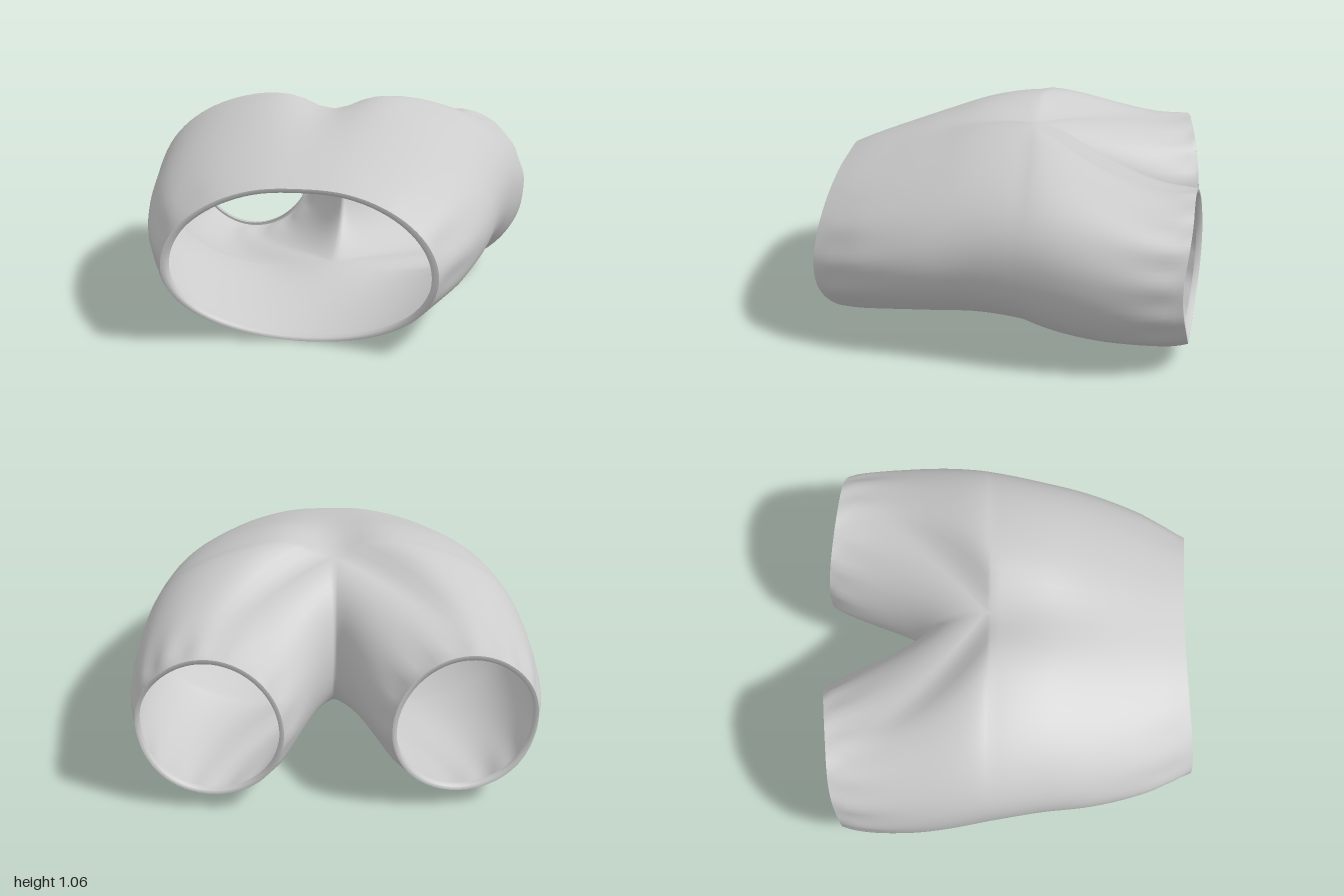
import * as THREE from 'three';
import { mergeGeometries, mergeVertices } from 'three/addons/utils/BufferGeometryUtils.js';

const V = (x, y, z) => new THREE.Vector3(x, y, z);
const OUTER = 44, INNER = 28, BODY_ROWS = 22, LEG_ROWS = 22;

// Body profile from waist (v = 0) to crotch (v = 1): v, half width, top, bottom, centre dent.
// The last row only sets the slope at the crotch.
const PROFILE = [
  [0, 0.66, 0.795, 0.0, 0.01],
  [0.1, 0.715, 0.835, 0.0, 0.01],
  [0.25, 0.79, 0.885, 0.015, 0.01],
  [0.5, 0.865, 0.97, 0.035, 0.025],
  [0.75, 0.905, 1.05, 0.055, 0.06],
  [1, 0.95, 1.08, 0.06, 0.1],
  [1.2, 0.98, 1.055, 0.05, 0.11],
];

// Smooth interpolation of the profile table
function profile(v) {
  let k = 0;
  while (k < PROFILE.length - 3 && v > PROFILE[k + 1][0]) k++;
  const at = i => PROFILE[Math.max(i, 0)];
  const slope = (i, c) => (at(i + 1)[c] - at(i - 1)[c]) / (at(i + 1)[0] - at(i - 1)[0]);
  const a = at(k), b = at(k + 1), d = b[0] - a[0], t = (v - a[0]) / d;
  const t2 = t * t, t3 = t2 * t;
  return [1, 2, 3, 4].map(c =>
    (2 * t3 - 3 * t2 + 1) * a[c] + (t3 - 2 * t2 + t) * d * slope(k, c) +
    (3 * t2 - 2 * t3) * b[c] + (t3 - t2) * d * slope(k + 1, c));
}

// Point on the half body; angle runs from +90 degrees (top centre) over the side to -90
function bodyPoint(v, angle) {
  const [w, top, bottom, dent] = profile(v);
  const s = Math.sin(angle), c = Math.max(Math.cos(angle), 0);
  const p = s > 0 ? 1 - 0.06 * v : 1 - 0.12 * v + 0.4 * v * (1 - v);
  const gather = 1 + 0.3 * v * Math.exp(-10 * v) * Math.sin(angle * 15) * c;
  const x = c < 1e-6 ? 0 : w * Math.pow(c, p) * gather;
  let y = (top + bottom) / 2 + (top - bottom) / 2 * Math.sign(s) * Math.pow(Math.abs(s), p);
  if (s > 0) y -= dent * Math.exp(-((x / 0.17) ** 2));
  else y += 0.07 * v ** 3 * Math.exp(-((x / 0.28) ** 2));
  const waistZ = 0.955 - (s > 0 ? 0.055 : 0.165) * s * s;
  return V(x, y, THREE.MathUtils.lerp(waistZ, -0.09, v));
}

// Point on the leg opening, rounded off at its outer side; the inner half continues past -90 degrees
function rimPoint(angle, scale = 1, shift = 0) {
  const c = Math.cos(angle), s = Math.sin(angle);
  return V(0.61 + 0.355 * scale * c, 0.47 + 0.38 * scale * s,
    -0.925 + 0.035 * c + 0.04 * Math.max(c, 0) ** 5 + 0.02 * s * s + shift);
}

// Direction in which the leg leaves the body, continuing the body surface
function departure(angle) {
  const n = Math.abs(Math.sin(angle)) ** 3;
  return bodyPoint(1, angle).sub(bodyPoint(0.98, angle)).multiplyScalar(7).add(V(0.2 * n, 0, 0));
}

// Point on the leg: each lengthwise line is a Bezier from the body or crotch seam to the rim
function legPoint(t, angle, inner) {
  const s = Math.sin(angle), c = Math.cos(angle);
  const end = rimPoint(angle);
  let start, h1;
  if (inner) {
    const edge = Math.sign(s) * Math.PI / 2 || Math.PI / 2;
    const hi = bodyPoint(1, Math.PI / 2), lo = bodyPoint(1, -Math.PI / 2);
    const m = Math.abs(c);
    start = V(0, (hi.y + lo.y) / 2 + (hi.y - lo.y) / 2 * s,
      -0.09 - 0.36 * m ** (s > 0 ? 1.1 : 1.1 + 0.6 * s * s));
    h1 = departure(edge).lerp(V(0.07, 0, -0.04), m);
  } else {
    start = bodyPoint(1, angle);
    h1 = departure(angle);
  }
  h1.add(start);
  const h2 = V(c > 0 ? 0.08 * c : 0.1 * c, s > 0 ? -0.02 * s : 0.05 * s,
    0.32 + (c < 0 ? 0.2 * c : 0)).add(end);
  const point = new THREE.CubicBezierCurve3(start, h1, h2, end).getPoint(t);
  const r = 1 - t, gather = 0.2 * r * Math.exp(-10 * r) * Math.sin(angle * 14) * t;
  return point.add(V(c * gather, s * gather, 0));
}

// Surface through rows of points
function surface(rows) {
  const n = rows[0].length, index = [];
  for (let j = 0; j < rows.length - 1; j++)
    for (let i = 0; i < n - 1; i++) {
      const a = j * n + i, b = a + n;
      index.push(a, a + 1, b, a + 1, b + 1, b);
    }
  const g = new THREE.BufferGeometry().setFromPoints(rows.flat());
  g.setIndex(index);
  return g;
}

const mirror = rows => rows.map(row => row.map(p => V(-p.x, p.y, p.z)).reverse());

// Weld patches into one smooth surface
function weld(patches) {
  const g = mergeVertices(mergeGeometries(patches.map(surface)), 1e-4);
  g.computeVertexNormals();
  return g;
}

const range = (n, f) => Array.from({ length: n + 1 }, (_, i) => f(i / n));

export function createModel() {
  const group = new THREE.Group();
  const material = new THREE.MeshStandardMaterial({
    color: 0xcccccc, roughness: 0.9, side: THREE.DoubleSide });
  const add = (name, patches) => {
    const mesh = new THREE.Mesh(weld(patches), material);
    mesh.name = name;
    group.add(mesh);
  };
  const outerAngle = u => Math.PI * (0.5 - u);

  // Body and legs of the shorts
  const body = range(BODY_ROWS, v => range(OUTER, u => bodyPoint(v, outerAngle(u))));
  const leg = range(LEG_ROWS, t => [
    ...range(OUTER, u => legPoint(t, outerAngle(u), false)),
    ...range(INNER, u => legPoint(t, -Math.PI * (0.5 + u), true)).slice(1),
  ]);
  add('shorts', [body, mirror(body), leg, mirror(leg)]);

  // Waist hem turned inward
  const fold = (scale, shift) => body[0].map(p =>
    V(p.x * scale, 0.4 + (p.y - 0.4) * scale, p.z + shift));
  const waist = [fold(0.95, -0.04), fold(0.95, 0), fold(1, 0)];
  add('waistHem', [waist, mirror(waist)]);

  // Leg hems turned inward
  const hem = [[1, 0], [0.94, 0], [0.94, 0.03]].map(([scale, shift]) =>
    range(OUTER + INNER, u => rimPoint(Math.PI * (0.5 - 2 * u), scale, shift)));
  add('leftLegHem', [hem]);
  add('rightLegHem', [mirror(hem)]);
  return group;
}
